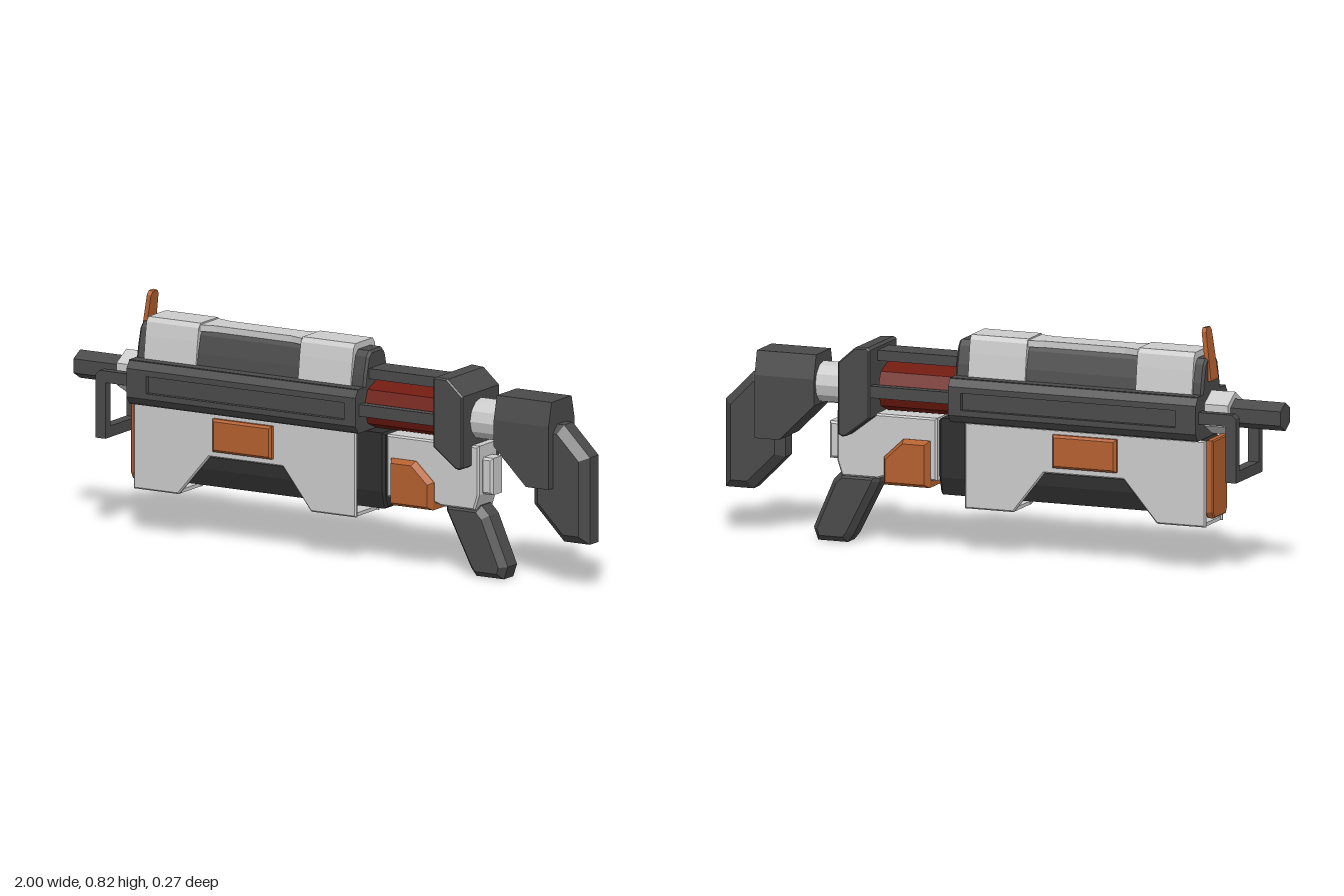
import * as THREE from 'three';

const paint = (color) => new THREE.MeshStandardMaterial({ color, flatShading: true, side: THREE.DoubleSide });

export function createModel() {
  const model = new THREE.Group();
  const light = paint(0xcccccc), dark = paint(0x4a4a4a), black = paint(0x2e2e2e);
  const orange = paint(0xb5602f), red = paint(0x701a10);

  const add = (name, geometry, material) => {
    const mesh = new THREE.Mesh(geometry, material);
    mesh.name = name;
    model.add(mesh);
    return mesh;
  };
  const outline = (pts) => new THREE.Shape(pts.map(([a, b]) => new THREE.Vector2(a, b)));

  // Side profile (x, y) extruded from z0 to z1, with chamfered rims
  const slab = (name, pts, z0, z1, material, size = 0, thick = size) => {
    const g = new THREE.ExtrudeGeometry(outline(pts), {
      depth: z1 - z0 - 2 * thick, bevelEnabled: size > 0, bevelSize: size,
      bevelOffset: -size, bevelThickness: thick, bevelSegments: 1,
    });
    return add(name, g.translate(0, 0, z0 + thick), material);
  };

  // End profile (z, y) extruded from x0 to x1, with chamfered ends
  const beam = (name, pts, x0, x1, material, bevel = 0) => {
    const g = new THREE.ExtrudeGeometry(outline(pts.map(([z, y]) => [-z, y])), {
      depth: x1 - x0 - 2 * bevel, bevelEnabled: bevel > 0, bevelSize: bevel,
      bevelOffset: -bevel, bevelThickness: bevel, bevelSegments: 1,
    });
    return add(name, g.rotateY(Math.PI / 2).translate(x0 + bevel, 0, 0), material);
  };

  // Half profile with z > 0 completed by its mirror image
  const mirrored = (half) => [...half, ...half.map(([z, y]) => [-z, y]).reverse()];

  const rod = (name, x0, x1, y, r, sides, material) => {
    const g = new THREE.CylinderGeometry(r, r, x1 - x0, sides);
    g.rotateY(Math.PI / 2).rotateZ(Math.PI / 2).translate((x0 + x1) / 2, y, 0);
    return add(name, g, material);
  };
  const box = (name, x0, x1, y0, y1, z0, z1, material) => {
    const g = new THREE.BoxGeometry(x1 - x0, y1 - y0, z1 - z0);
    return add(name, g.translate((x0 + x1) / 2, (y0 + y1) / 2, (z0 + z1) / 2), material);
  };
  const rect = (x0, x1, y0, y1) => [[x0, y0], [x1, y0], [x1, y1], [x0, y1]];

  // Barrel
  rod('muzzle', -1, -0.72, 0.535, 0.048, 6, dark);
  rod('muzzleCollar', -0.82, -0.72, 0.533, 0.073, 6, light);
  rod('redCore', 0.14, 0.43, 0.533, 0.082, 8, red);
  rod('stockTube', 0.54, 0.67, 0.53, 0.07, 12, light);

  // Front bracket and the rods along both sides
  for (const s of [-1, 1]) {
    const z0 = s > 0 ? 0.082 : -0.113, z1 = z0 + 0.031;
    box('sideRod', 0.14, 0.46, 0.51, 0.55, z0, z1, dark);
    slab('bracketArm', [[-0.87, 0.32], [-0.832, 0.32], [-0.832, 0.51], [-0.72, 0.51],
      [-0.72, 0.55], [-0.855, 0.55], [-0.87, 0.535]], z0, z1, dark);
  }
  box('bracketCrossbar', -0.87, -0.832, 0.32, 0.358, -0.085, 0.085, dark);
  box('topRod', 0.14, 0.46, 0.625, 0.66, -0.05, 0.05, dark);

  // Main body with a long slot in each side
  box('bodyCore', -0.735, 0.155, 0.452, 0.602, -0.12, 0.12, dark);
  const rails = [
    [-0.735, 0.155, [[0.118, 0.555], [0.137, 0.555], [0.137, 0.575], [0.118, 0.602]]],
    [-0.735, 0.155, [[0.118, 0.452], [0.137, 0.478], [0.137, 0.497], [0.118, 0.497]]],
    [-0.735, -0.66, [[0.118, 0.497], [0.137, 0.497], [0.137, 0.555], [0.118, 0.555]]],
    [0.11, 0.155, [[0.118, 0.497], [0.137, 0.497], [0.137, 0.555], [0.118, 0.555]]],
  ];
  for (const s of [-1, 1])
    for (const [x0, x1, pts] of rails) beam('bodyRail', pts.map(([z, y]) => [s * z, y]), x0, x1, dark);

  // Upper body and the cover clipped over it
  beam('upperBody', mirrored([[0.08, 0.59], [0.071, 0.64], [0.055, 0.7], [0.038, 0.718]]), -0.735, 0.155, dark, 0.008);
  const bend = mirrored([[0.085, 0.602], [0.075, 0.68], [0.067, 0.725], [0.055, 0.74]]);
  beam('coverFront', bend, -0.7, -0.497, light);
  beam('coverRear', bend, -0.1, 0.105, light);
  const strip = outline([[-0.5, -0.06], [-0.445, -0.045], [-0.15, -0.045], [-0.097, -0.06],
    [-0.097, 0.06], [-0.15, 0.045], [-0.445, 0.045], [-0.5, 0.06]]);
  add('coverStrip', new THREE.ExtrudeGeometry(strip, { depth: 0.022, bevelEnabled: false })
    .rotateX(-Math.PI / 2).translate(0, 0.713, 0), light);

  // Front sight, leaning back a little
  const sight = beam('frontSight', mirrored([[0.033, -0.06], [0.024, 0.105], [0.014, 0.118]]), -0.008, 0.008, orange);
  sight.position.set(-0.731, 0.7, 0);
  sight.rotation.z = -0.13;

  // Lower shell: two cut-out walls joined by a floor under each foot
  const wall = [[-0.745, 0.155], [-0.57, 0.155], [-0.45, 0.295], [-0.165, 0.295],
    [-0.055, 0.155], [0.12, 0.155], [0.12, 0.447], [-0.745, 0.447]];
  slab('shellWall', wall, 0.062, 0.078, light, 0.005);
  slab('shellWall', wall, -0.078, -0.062, light, 0.005);
  box('shellFloor', -0.74, -0.57, 0.156, 0.168, -0.072, 0.072, light);
  box('shellFloor', -0.055, 0.115, 0.156, 0.168, -0.072, 0.072, light);

  // Magazine inside the shell, standing out at the rear
  beam('magazine', mirrored([[0.045, 0.19], [0.061, 0.25], [0.061, 0.45]]), -0.735, 0.22, black, 0.008);

  // Orange trim
  beam('endPlate', mirrored([[0.05, 0.183], [0.063, 0.205], [0.063, 0.447]]), -0.766, -0.738, orange, 0.004);
  slab('sidePanels', rect(-0.43, -0.2, 0.318, 0.43), -0.097, 0.097, orange, 0.008);

  // Receiver
  slab('receiver', [[0.228, 0.235], [0.42, 0.235], [0.44, 0.228], [0.57, 0.228], [0.587, 0.28],
    [0.587, 0.447], [0.228, 0.447]], -0.06, 0.06, light, 0.006);
  slab('receiverGuard', [[0.25, 0.212], [0.415, 0.212], [0.415, 0.305], [0.345, 0.37], [0.25, 0.37]],
    -0.087, 0.087, orange, 0.012, 0.02);
  slab('rearButton', rect(0.58, 0.625, 0.28, 0.405), -0.035, 0.035, light, 0.008);

  // Grip
  slab('grip', [[0.445, 0.24], [0.445, 0.21], [0.54, 0.025], [0.56, 0], [0.667, 0], [0.682, 0.043],
    [0.61, 0.21], [0.58, 0.24]], -0.055, 0.055, dark, 0.02, 0.026);

  // Rear block
  slab('rearBlock', [[0.445, 0.67], [0.455, 0.678], [0.5, 0.675], [0.56, 0.622], [0.56, 0.38],
    [0.545, 0.372], [0.53, 0.375], [0.445, 0.44]], -0.118, 0.118, dark, 0.005);

  // Stock: block with sides leaning in towards the top, then the butt
  const block = slab('stockBlock', [[0.66, 0.55], [0.66, 0.46], [0.785, 0.337], [0.873, 0.337], [0.873, 0.55]],
    -0.083, 0.083, dark);
  block.name = 'stockBlockLower';
  const cap = new THREE.BoxGeometry(0.213, 0.08, 0.166).translate(0.7665, 0.59, 0);
  const p = cap.attributes.position;
  for (let i = 0; i < p.count; i++) if (p.getY(i) > 0.6) p.setZ(i, Math.sign(p.getZ(i)) * 0.063);
  add('stockBlockUpper', cap, dark);
  slab('butt', [[0.785, 0.4], [0.785, 0.27], [0.9, 0.155], [1, 0.155], [1, 0.45], [0.9, 0.55], [0.8, 0.55]],
    -0.055, 0.055, dark, 0.028);

  return model;
}
